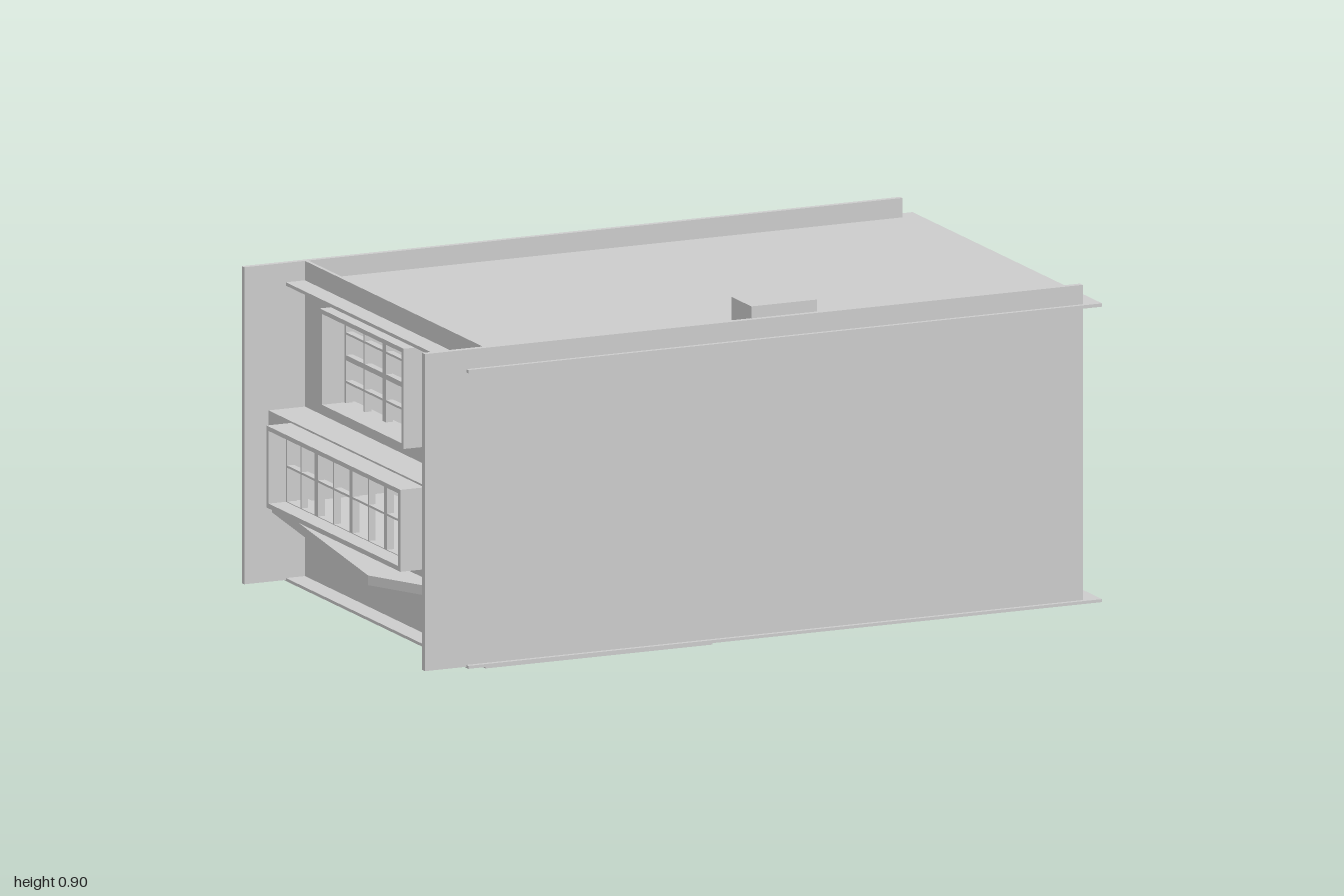
import * as THREE from 'three';

const mat = new THREE.MeshStandardMaterial({ color: 0xcccccc, side: THREE.DoubleSide });

export function createModel() {
  const room = new THREE.Group();
  room.name = 'kitchenRoom';

  const add = (name, geo) => {
    const m = new THREE.Mesh(geo, mat);
    m.name = name;
    room.add(m);
    return m;
  };
  // Box given by its limits on each axis
  const box = (name, x0, x1, y0, y1, z0, z1) =>
    add(name, new THREE.BoxGeometry(x1 - x0, y1 - y0, z1 - z0)
      .translate((x0 + x1) / 2, (y0 + y1) / 2, (z0 + z1) / 2));
  const rect = (P, z0, z1, y0, y1) => {
    const p = new P();
    p.moveTo(-z0, y0);
    p.lineTo(-z1, y0);
    p.lineTo(-z1, y1);
    p.lineTo(-z0, y1);
    p.closePath();
    return p;
  };
  // Upright panel across z, with rectangular holes [z0, z1, y0, y1]
  const panel = (name, x0, x1, outer, holes) => {
    const s = rect(THREE.Shape, ...outer);
    holes.forEach(h => s.holes.push(rect(THREE.Path, ...h)));
    const g = new THREE.ExtrudeGeometry(s, { depth: x1 - x0, bevelEnabled: false });
    return add(name, g.rotateY(Math.PI / 2).translate(x0, 0, 0));
  };
  // Flat slab from an outline of [x, z] points
  const slab = (name, y0, y1, pts) => {
    const s = new THREE.Shape(pts.map(([x, z]) => new THREE.Vector2(x, -z)));
    const g = new THREE.ExtrudeGeometry(s, { depth: y1 - y0, bevelEnabled: false });
    return add(name, g.rotateX(-Math.PI / 2).translate(0, y0, 0));
  };

  // Shell, open at the +x end
  box('floor', -0.83, 1, 0.012, 0.02, -0.585, 0.585);
  box('ceiling', -0.83, 1, 0.805, 0.814, -0.585, 0.585);
  box('frontWall', -0.95, 0.95, 0.015, 0.866, 0.556, 0.573);
  box('backWall', -0.95, 0.95, 0.015, 0.866, -0.556, -0.541);

  // End wall: upper part, lower part and the bay that steps outwards
  const upper = [-0.268, 0.25, 0.535, 0.804];
  const lower = [-0.404, 0.422, 0.25, 0.47];
  panel('upperEndWall', -0.775, -0.765, [-0.541, 0.556, 0.47, 0.866], [[-0.255, 0.238, 0.541, 0.8]]);
  box('lowerEndWall', -0.775, -0.765, 0.02, 0.2, -0.541, 0.556);
  panel('bayWall', -0.88, -0.87, [-0.541, 0.556, 0.225, 0.47], [[-0.39, 0.408, 0.262, 0.458]]);
  box('bayRoof', -0.88, -0.765, 0.467, 0.475, -0.541, 0.556);

  // Windows: deep surround and thin sashes, each light divided 2 x 2
  const windowUnit = (name, x0, x1, o, zs, ys) => {
    const rim = 0.013;
    panel(name + 'Surround', x0, x1, o, [[o[0] + rim, o[1] - rim, o[2] + rim, o[3] - 0.012]]);
    const panes = [];
    zs.forEach(([z0, z1]) => ys.forEach(([y0, y1]) => {
      const zm = (z0 + z1) / 2, ym = (y0 + y1) / 2, b = 0.003;
      for (const [a, c] of [[z0, zm - b], [zm + b, z1]])
        for (const [d, e] of [[y0, ym - b], [ym + b, y1]]) panes.push([a, c, d, e]);
    }));
    panel(name + 'Sashes', x1 - 0.03, x1 - 0.01, o, panes);
  };
  windowUnit('upperWindow', -0.86, -0.765, upper,
    [[-0.246, -0.02], [0.002, 0.227]], [[0.547, 0.663], [0.677, 0.794]]);
  windowUnit('lowerWindow', -0.95, -0.87, lower,
    [[-0.384, -0.215], [-0.193, 0], [0.02, 0.215], [0.234, 0.403]], [[0.265, 0.453]]);

  // L-shaped base cabinets; the plinth reaches just below the floor
  const ell = (x0, x1, x2, z) => [[x0, -0.52], [x1, -0.52], [x1, z], [x2, z], [x2, 0.553], [x0, 0.553]];
  slab('plinth', 0, 0.04, ell(-0.765, -0.56, -0.11, 0.362));
  slab('baseCabinets', 0.04, 0.2, ell(-0.765, -0.55, -0.11, 0.345));
  slab('worktop', 0.2, 0.226, [[-0.87, -0.54], [-0.765, -0.54], [-0.765, -0.52], [-0.54, -0.52],
    [-0.54, 0.335], [-0.11, 0.335], [-0.11, 0.553], [-0.89, 0.553], [-1, 0.33]]);

  // Tap
  box('tapStem', -0.72, -0.706, 0.226, 0.3, -0.081, -0.067);
  box('tapSpout', -0.72, -0.62, 0.297, 0.315, -0.081, -0.055);
  box('tapNozzle', -0.64, -0.62, 0.285, 0.315, -0.055, -0.04);

  // Stove
  box('stoveBase', -0.1, 0.28, 0.02, 0.09, 0.338, 0.545);
  box('stoveBody', -0.1, 0.28, 0.09, 0.257, 0.335, 0.548);
  box('stoveHandle', -0.05, 0.23, 0.2, 0.21, 0.302, 0.335);

  // Frying pan
  const dish = (name, pts, x, y, z) => {
    const m = add(name, new THREE.LatheGeometry(pts.map(p => new THREE.Vector2(...p)), 32));
    m.position.set(x, y, z);
  };
  dish('pan', [[0, 0], [0.036, 0], [0.055, 0.02], [0.052, 0.02], [0.034, 0.004], [0, 0.004]], 0.02, 0.258, 0.388);
  const handle = box('panHandle', -0.008, 0.008, -0.004, 0.004, -0.03, 0.03);
  handle.position.set(0.02, 0.283, 0.457);
  handle.rotation.x = -0.2;

  // Extractor hood with a chimney through the ceiling
  const hood = new THREE.Shape([[-0.556, 0.415], [-0.402, 0.415], [-0.402, 0.423], [-0.432, 0.455], [-0.556, 0.455]]
    .map(p => new THREE.Vector2(...p)));
  add('hood', new THREE.ExtrudeGeometry(hood, { depth: 0.36, bevelEnabled: false })
    .rotateY(Math.PI / 2).translate(-0.085, 0, 0));
  box('chimney', 0, 0.19, 0.455, 0.898, 0.434, 0.558);

  // Wall cabinets
  box('wallCabinet', -0.765, -0.11, 0.505, 0.77, 0.434, 0.556);
  for (let i = 0; i < 3; i++)
    box('wallCabinetDoor', -0.55 + i * 0.147, -0.408 + i * 0.147, 0.507, 0.768, 0.415, 0.434);

  // Thin panels on the back wall
  box('wallPanelLower', -0.15, 0.15, 0.33, 0.458, -0.541, -0.534);
  box('wallPanelUpper', -0.15, 0.15, 0.462, 0.686, -0.541, -0.534);

  // Bowl on the floor
  dish('floorBowl', [[0, 0], [0.1, 0], [0.112, 0.014], [0.117, 0.031], [0.112, 0.031], [0.085, 0.012], [0, 0.006]],
    0.69, 0.02, -0.212);

  return room;
}
